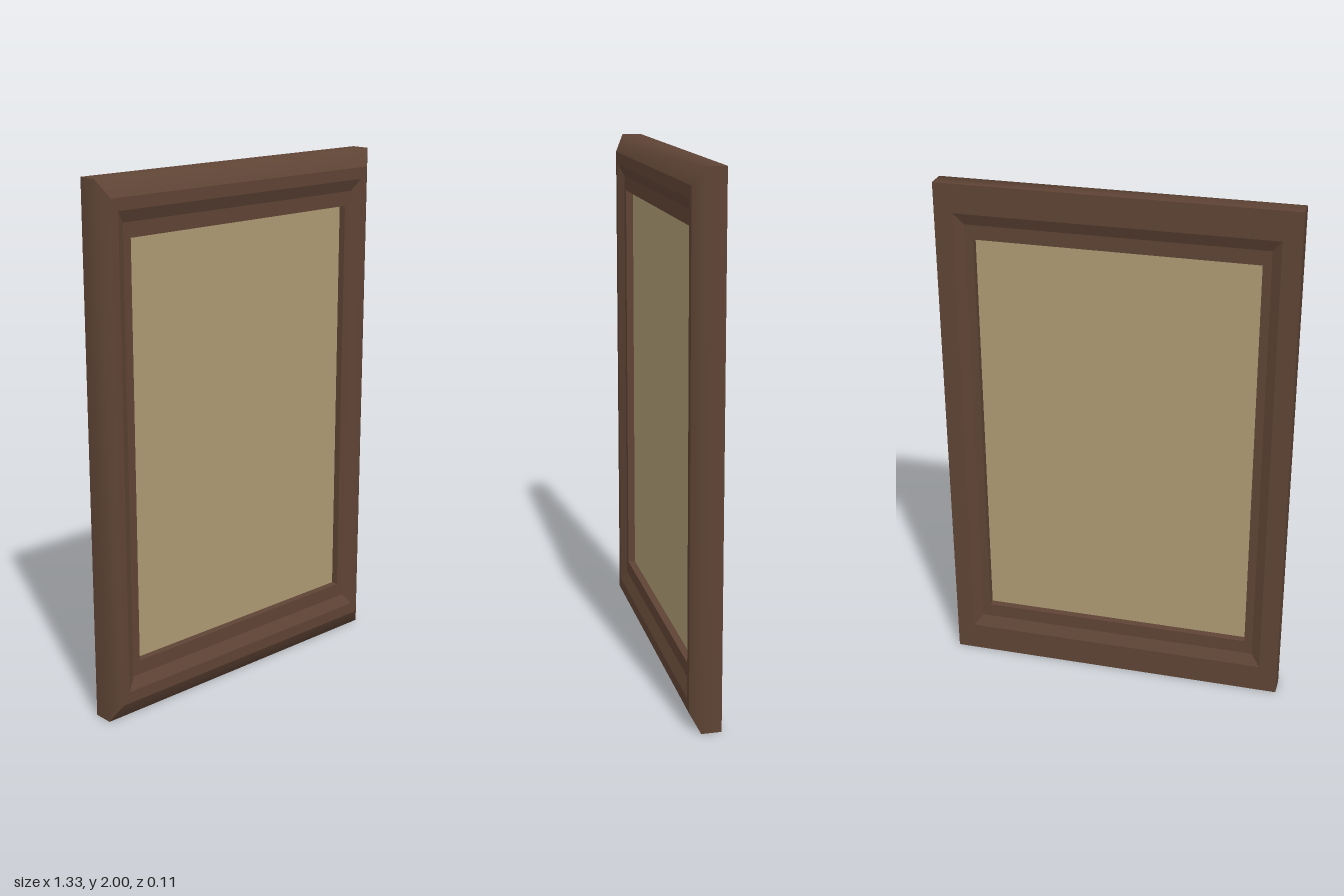
import * as THREE from 'three';

const HALF_W = 0.665, HALF_H = 1;

// Moulding section as smooth runs of [inset in x, inset in y, z]
const OUTER = [[0, 0, -0.055], [0, 0, 0.02], [0.04, 0.065, 0.055]];
const RUNS = [
  OUTER,
  [[0.04, 0.065, 0.055], [0.07, 0.11, 0.055]],    // front face
  [[0.07, 0.11, 0.055], [0.105, 0.155, 0.035]],   // front inner bevel
  [[0.105, 0.155, 0.035], [0.137, 0.21, 0.035]],  // front ledge
  [[0.137, 0.21, 0.035], [0.137, 0.21, -0.035]],  // opening wall
  [[0.137, 0.21, -0.035], [0.105, 0.155, -0.035]],// back ledge
  [[0.105, 0.155, -0.035], [0.07, 0.11, -0.055]], // back inner bevel
  [[0.07, 0.11, -0.055], [0, 0, -0.055]],         // back face
];

const CORNERS = [[-1, -1], [1, -1], [1, 1], [-1, 1]];
const NAMES = ['bottomRail', 'leftStile', 'topRail', 'rightStile'];

// One mitred bar swept between two neighbouring corners
function barGeometry(side) {
  const ends = [CORNERS[side], CORNERS[(side + 1) % 4]];
  const positions = [], index = [];
  for (const run of RUNS) {
    const start = positions.length / 3;
    run.forEach(([dx, dy, z], i) => {
      for (const [sx, sy] of ends) {
        positions.push(sx * (HALF_W - dx), HALF_H + sy * (HALF_H - dy), z);
      }
      if (i > 0) {
        const a = start + 2 * (i - 1);
        index.push(a, a + 1, a + 3, a, a + 3, a + 2);
      }
    });
  }
  const geometry = new THREE.BufferGeometry();
  geometry.setAttribute('position', new THREE.Float32BufferAttribute(positions, 3));
  geometry.setIndex(index);
  geometry.computeVertexNormals();
  return geometry;
}

export function createModel() {
  const model = new THREE.Group();
  model.name = 'framedPanel';
  const wood = new THREE.MeshStandardMaterial({ color: 0x5f4435 });
  const tan = new THREE.MeshStandardMaterial({ color: 0xad9a72 });

  // Four mitred frame bars
  const frame = new THREE.Group();
  frame.name = 'frame';
  NAMES.forEach((name, side) => {
    const bar = new THREE.Mesh(barGeometry(side), wood);
    bar.name = name;
    frame.add(bar);
  });
  model.add(frame);

  // Recessed panel held inside the frame opening
  const panel = new THREE.Mesh(new THREE.BoxGeometry(1.06, 1.584, 0.014), tan);
  panel.name = 'panel';
  panel.position.y = HALF_H;
  model.add(panel);

  return model;
}
